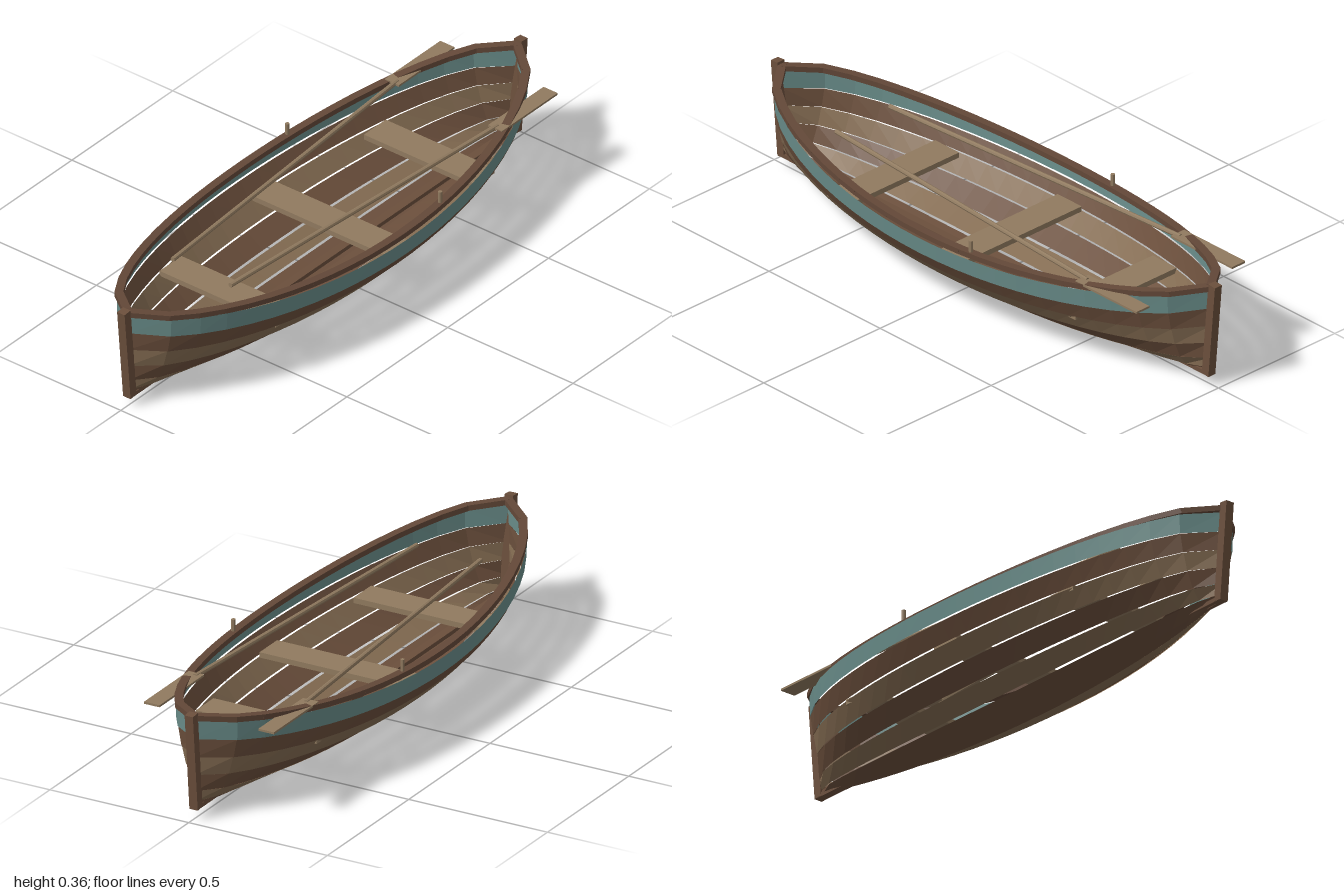
import * as THREE from 'three';

const HALF = 0.965; // hull half length inside the stems
const material = (name, color, opts = {}) => {
  const m = new THREE.MeshStandardMaterial({ color, flatShading: true, ...opts });
  m.name = name;
  return m;
};
// Plan outline, 1 amidships to 0 at the stems, with full rounded ends
const taper = (t) => Math.pow(Math.max(0, 1 - t * t), 0.62);

// Plank edges from keel to sheer: [half width amidships, height amidships, rise at the ends]
const EDGES = [
  [0, 0.002, 0.035], [0.087, 0.014, 0.046], [0.167, 0.047, 0.048], [0.236, 0.096, 0.054],
  [0.288, 0.15, 0.06], [0.328, 0.206, 0.066], [0.34, 0.265, 0.073],
];

// One lapped plank, whose lower edge stands slightly outside the plank below
function strakeGeometry(i) {
  const g = new THREE.PlaneGeometry(2, 1, 24, 1);
  const p = g.attributes.position;
  for (let k = 0; k < p.count; k++) {
    const t = p.getX(k);
    const lower = p.getY(k) < 0;
    const [w, y, rise] = EDGES[lower ? i : i + 1];
    const lap = lower && i > 0 ? taper(t) : 0;
    const gap = lap * (i <= 2 ? 0.005 : 0.002);
    p.setXYZ(k, t * HALF, y + rise * t * t + gap, w * taper(t) + lap * 0.006);
  }
  g.computeVertexNormals();
  return g;
}

export function createModel() {
  const boat = new THREE.Group();
  boat.name = 'rowingBoat';
  const brown = material('brownPlank', 0x6b4f3c, { side: THREE.DoubleSide });
  const tan = material('tanPlank', 0x846c52, { side: THREE.DoubleSide });
  const teal = material('tealPaint', 0x688b88, { side: THREE.DoubleSide });
  const frame = material('frameWood', 0x6b4f3c);
  const rail = material('railWood', 0x634838);
  const seat = material('seatWood', 0x907a5f);

  const add = (name, geometry, mat, x = 0, y = 0, z = 0, parent = boat) => {
    const mesh = new THREE.Mesh(geometry, mat);
    mesh.name = name;
    mesh.position.set(x, y, z);
    parent.add(mesh);
    return mesh;
  };

  // Six planks per side, the top one painted
  for (let i = 0; i < 6; i++) {
    const g = strakeGeometry(i);
    const mat = i === 5 ? teal : i % 2 ? tan : brown;
    add('leftPlank' + (i + 1), g, mat);
    add('rightPlank' + (i + 1), g, mat).rotation.y = Math.PI;
  }

  // Straight keelson between raked stem posts
  add('keelson', new THREE.BoxGeometry(1.93, 0.014, 0.028), frame, 0, 0.042, 0);
  for (const s of [-1, 1]) {
    add(s > 0 ? 'bowPost' : 'sternPost', new THREE.BoxGeometry(0.03, 0.33, 0.03), frame,
      s * 0.97, 0.2, 0).rotation.z = -s * 0.09;
  }

  // Gunwales of short straight pieces following the sheer
  const railPoint = (t, s) =>
    new THREE.Vector3(t * HALF, 0.271 + 0.077 * t * t, s * 0.313 * taper(t));
  for (const s of [-1, 1]) {
    const gunwale = new THREE.Group();
    gunwale.name = 'gunwale';
    boat.add(gunwale);
    for (let i = 0; i < 24; i++) {
      const a = railPoint(-1 + i / 12, s);
      const b = railPoint(-1 + (i + 1) / 12, s);
      const mid = a.clone().add(b).multiplyScalar(0.5);
      const box = new THREE.BoxGeometry(0.027, 0.018, a.distanceTo(b) + 0.006);
      add('gunwalePiece', box, rail, mid.x, mid.y, mid.z, gunwale).lookAt(b);
    }
  }

  // Thwarts: [centre x, length]
  for (const [x, len] of [[-0.465, 0.465], [0.045, 0.545], [0.53, 0.435]]) {
    add('seat', new THREE.BoxGeometry(0.108, 0.018, len), seat, x, 0.168, 0);
  }

  // Oars laid fore and aft, with a pin on each rail
  for (const s of [-1, 1]) {
    const oar = new THREE.Group();
    oar.name = 'oar';
    boat.add(oar);
    const a = new THREE.Vector3(-0.6, 0.31, s * 0.115);
    const b = new THREE.Vector3(0.62, 0.31, s * 0.2);
    const shaft = new THREE.CylinderGeometry(0.008, 0.008, a.distanceTo(b), 8).rotateX(Math.PI / 2);
    const mid = a.clone().add(b).multiplyScalar(0.5);
    add('oarShaft', shaft, seat, mid.x, mid.y, mid.z, oar).lookAt(b);
    add('oarBlade', new THREE.BoxGeometry(0.275, 0.007, 0.056), seat, 0.738, 0.31, s * 0.206, oar);
    add('oarPin', new THREE.CylinderGeometry(0.007, 0.007, 0.044, 8), seat, 0.205, 0.301, s * 0.305);
  }

  return boat;
}
